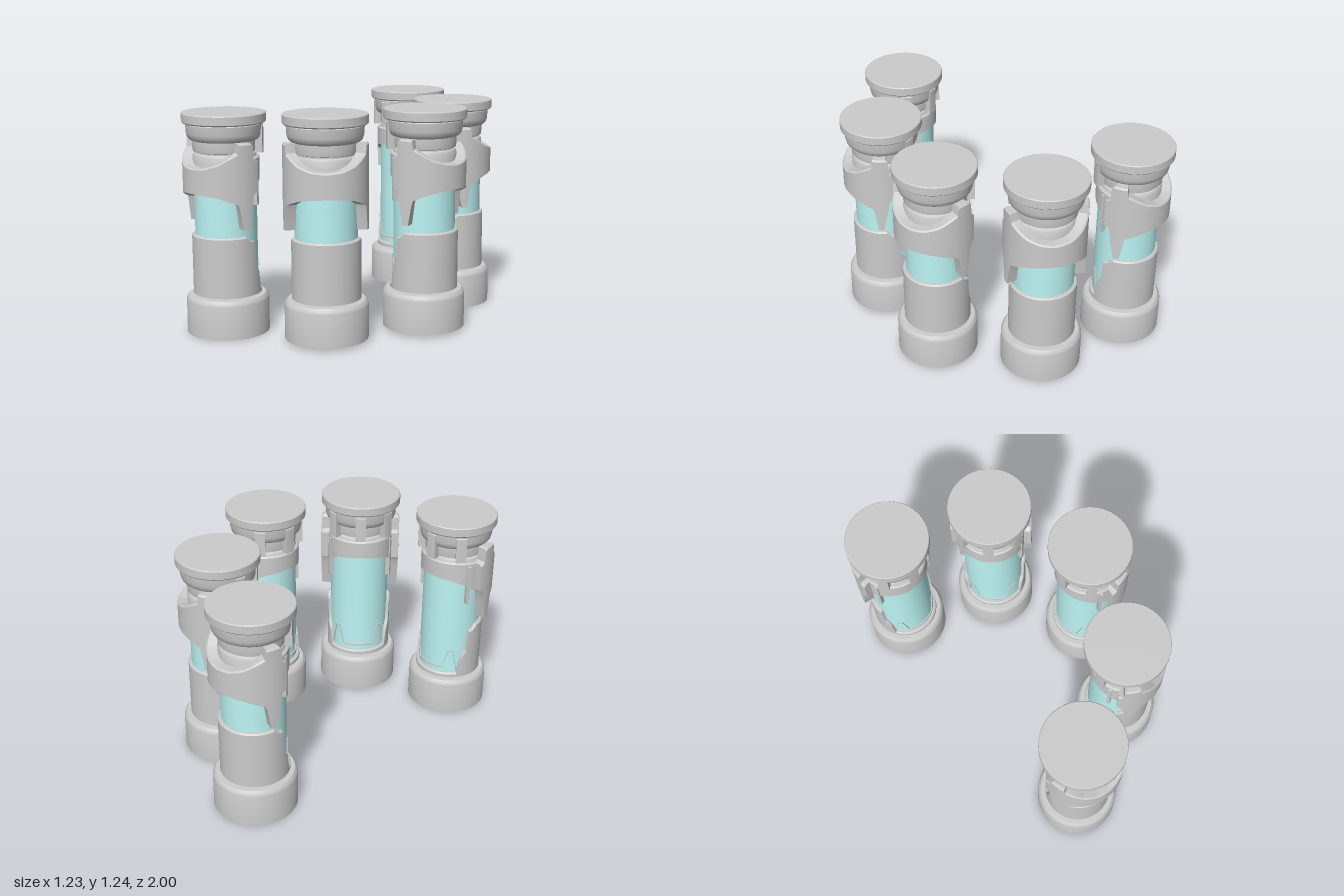
import * as THREE from 'three';
import { toCreasedNormals } from 'three/addons/utils/BufferGeometryUtils.js';

const grey = new THREE.MeshStandardMaterial({ color: 0xcccccc, side: THREE.DoubleSide });
const glass = new THREE.MeshStandardMaterial({ color: 0xbdf5f5, side: THREE.DoubleSide });

// Surface of revolution from [radius, height] pairs, bottom to top
function turned(name, profile, material = grey) {
  const points = profile.map(([r, y]) => new THREE.Vector2(r, y));
  const mesh = new THREE.Mesh(toCreasedNormals(new THREE.LatheGeometry(points, 40), 0.6), material);
  mesh.name = name;
  return mesh;
}

// Mirror a list of [degrees, bottom, top] about an angle
function mirrored(keys, about = 0) {
  const flipped = keys.filter(k => k[0] !== about).map(([a, b, t]) => [2 * about - a, b, t]);
  return [...keys, ...flipped].sort((p, q) => p[0] - q[0]);
}

// Curved plate around the y axis; its lower and upper edges follow the keys
function plate(name, keys, rIn, rOut, bevel = 0.008) {
  const columns = [];
  keys.forEach((key, i) => {
    const next = keys[i + 1];
    const steps = next ? Math.max(1, Math.ceil((next[0] - key[0]) / 5)) : 1;
    for (let s = 0; s < steps; s++) {
      const [deg, b, t] = key.map((v, j) => (next ? v + (next[j] - v) * s / steps : v));
      const a = THREE.MathUtils.degToRad(deg);
      const section = [[rIn, b], [rOut, b], [rOut, t - bevel], [rOut - bevel, t], [rIn, t]];
      columns.push(section.map(([r, y]) => [r * Math.sin(a), y, r * Math.cos(a)]));
    }
  });
  const pos = [];
  const tri = (...corners) => corners.forEach(c => pos.push(...c));
  for (let i = 0; i < columns.length - 1; i++) {
    const p = columns[i], q = columns[i + 1];
    for (let k = 0; k < 5; k++) {
      const n = (k + 1) % 5;
      tri(p[k], q[k], q[n]);
      tri(p[k], q[n], p[n]);
    }
  }
  const first = columns[0], last = columns[columns.length - 1];
  for (let k = 1; k < 4; k++) {
    tri(first[0], first[k], first[k + 1]);
    tri(last[0], last[k + 1], last[k]);
  }
  const geometry = new THREE.BufferGeometry();
  geometry.setAttribute('position', new THREE.Float32BufferAttribute(pos, 3));
  const mesh = new THREE.Mesh(toCreasedNormals(geometry, 0.5), grey);
  mesh.name = name;
  return mesh;
}

// One canister: the cover faces local +z, the window faces -z
function createCanister() {
  const canister = new THREE.Group();

  canister.add(turned('base', [
    [0.228, 0], [0.228, 0.185], [0.224, 0.2], [0.212, 0.214], [0.165, 0.216],
  ]));
  canister.add(turned('glassTube', [[0.17, 0.214], [0.17, 0.9]], glass));
  canister.add(turned('neck', [
    [0.172, 0.895], [0.173, 0.985], [0.166, 0.998], [0.158, 1.002], [0.158, 1.008], [0.17, 1.012],
    [0.173, 1.03], [0.173, 1.07], [0.188, 1.076], [0.199, 1.088], [0.205, 1.11],
    [0.208, 1.158], [0.2, 1.168],
  ]));
  canister.add(turned('lid', [
    [0, 1.164], [0.222, 1.164], [0.229, 1.171], [0.229, 1.215], [0.225, 1.22], [0, 1.22],
  ]));

  // Lower cover, cut away around the window
  canister.add(plate('lowerCover', mirrored([
    [0, 0.222, 0.556], [84, 0.222, 0.556], [94, 0.222, 0.53], [102, 0.222, 0.525],
    [106, 0.222, 0.4], [116, 0.222, 0.35], [122, 0.222, 0.25], [180, 0.222, 0.25],
  ]), 0.165, 0.188));

  // Collar with a hanging tab on each side
  canister.add(plate('collar', mirrored([
    [0, 0.798, 0.935], [20, 0.795, 0.942], [40, 0.782, 0.966], [56, 0.76, 1.0],
    [66, 0.745, 1.02], [68, 0.72, 1.07], [73, 0.605, 1.07], [81, 0.605, 1.07],
    [87, 0.72, 1.07], [90, 0.79, 1.06], [91, 0.795, 0.985], [98, 0.81, 0.97],
  ]), 0.17, 0.229));

  // Thinner band closing the collar above the window
  canister.add(plate('windowBand', mirrored([
    [96, 0.79, 0.975], [115, 0.835, 0.98], [140, 0.87, 0.985], [180, 0.885, 0.985],
  ], 180), 0.165, 0.188));

  // Slim clips hanging beside the window
  for (const a of [112, 248]) {
    canister.add(plate('windowClip', [[a - 3, 0.72, 0.96], [a + 3, 0.72, 0.96]], 0.168, 0.195, 0.004));
  }

  // Brackets below the lid on the window side
  for (const a of [130, 180, 230]) {
    canister.add(plate('lidBracket', [[a - 8, 1.0, 1.15], [a + 8, 1.0, 1.15]], 0.165, 0.212, 0.004));
  }

  // Raised zigzag line low on the window
  const zigzag = [[122, 0.27], [131, 0.4], [139, 0.4], [150, 0.285], [180, 0.285]];
  canister.add(plate('windowTrim',
    mirrored(zigzag.map(([a, y]) => [a, y - 0.006, y + 0.006]), 180), 0.168, 0.176, 0.002));

  return canister;
}

export function createModel() {
  const model = new THREE.Group();
  model.name = 'canisterArc';
  // x, height, z and facing of each canister around the half circle
  const places = [
    [-0.39, 0, 0.766, 0], [0.147, 0.015, 0.532, 45], [0.386, 0.015, 0, 90],
    [0.147, 0, -0.545, 135], [-0.39, 0, -0.771, 180],
  ];
  for (const [x, y, z, facing] of places) {
    const canister = createCanister();
    canister.name = 'canister';
    canister.position.set(x, y, z);
    canister.rotation.y = THREE.MathUtils.degToRad(facing);
    model.add(canister);
  }
  return model;
}
